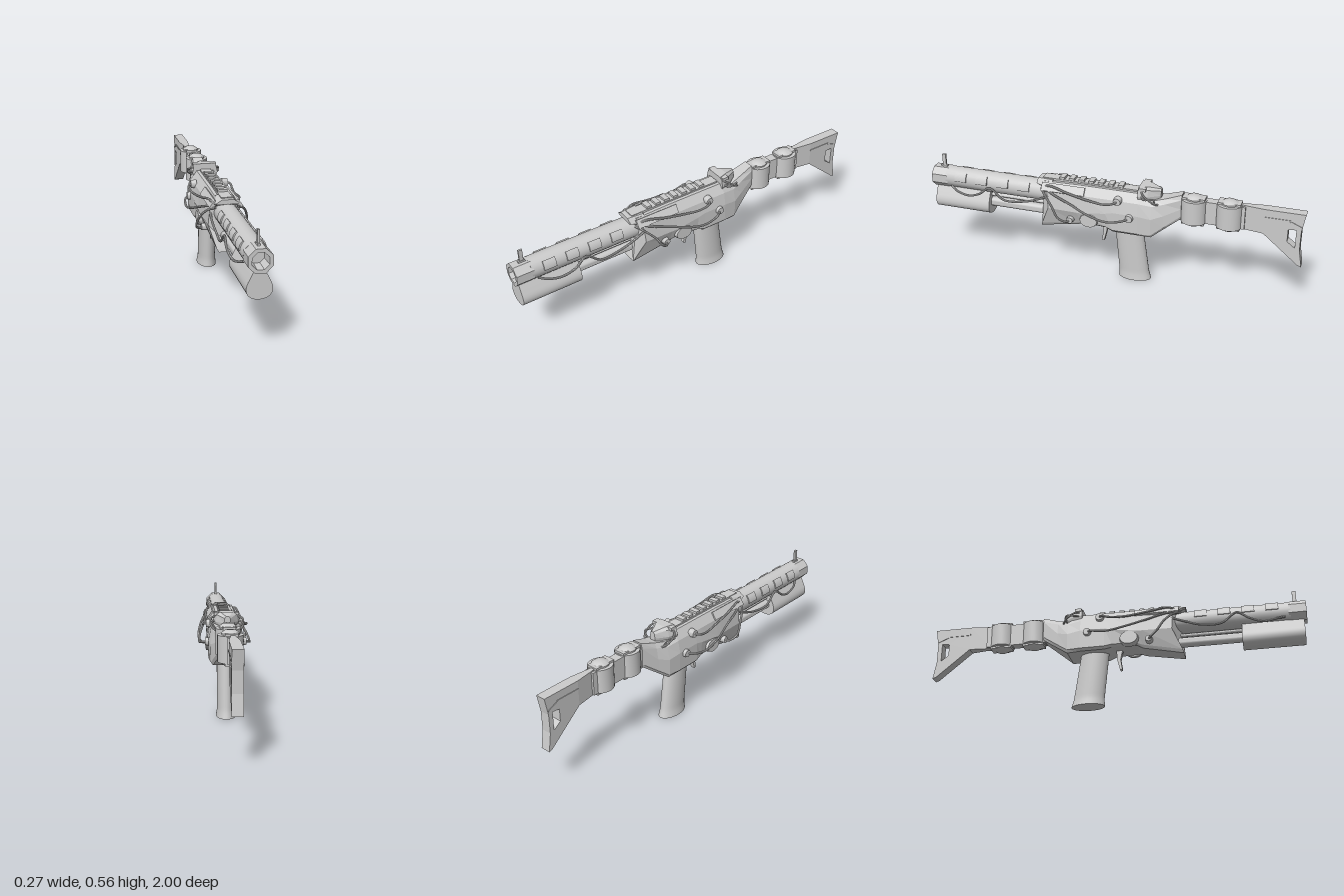
import * as THREE from 'three';
import { toCreasedNormals } from 'three/addons/utils/BufferGeometryUtils.js';

const smooth = new THREE.MeshStandardMaterial({ color: 0xcccccc, side: THREE.DoubleSide });
const flat = new THREE.MeshStandardMaterial({ color: 0xcccccc, flatShading: true, side: THREE.DoubleSide });

export function createModel() {
  const root = new THREE.Group();

  function add(name, geo, x = 0, y = 0, z = 0, mat = flat) {
    const m = new THREE.Mesh(mat === smooth ? toCreasedNormals(geo, 0.7) : geo, mat);
    m.name = name;
    m.position.set(x, y, z);
    root.add(m);
    return m;
  }
  const box = (name, w, h, d, x, y, z) => add(name, new THREE.BoxGeometry(w, h, d), x, y, z);

  // Closed solid from mirrored half sections, front to back; points are [x, y, z], bottom to top
  function loft(sections) {
    const pos = [], idx = [], n = sections[0].length * 2;
    for (const s of sections) {
      for (const [x, y, z] of s) pos.push(x, y, z);
      for (const [x, y, z] of [...s].reverse()) pos.push(-x, y, z);
    }
    for (let i = 0; i < sections.length - 1; i++) {
      for (let j = 0; j < n; j++) {
        const a = i * n + j, b = i * n + (j + 1) % n;
        idx.push(a, a + n, b, b, a + n, b + n);
      }
    }
    const e = (sections.length - 1) * n;
    for (let k = 1; k < n - 1; k++) idx.push(0, k, k + 1, e, e + k + 1, e + k);
    const g = new THREE.BufferGeometry();
    g.setAttribute('position', new THREE.Float32BufferAttribute(pos, 3));
    g.setIndex(idx);
    const out = g.toNonIndexed();
    out.computeVertexNormals();
    return out;
  }
  const at = (z, pts) => pts.map(([x, y]) => [x, y, z]);

  // Side outline given as [z, y], extruded across x
  function sidePlate(points, width, hole) {
    const toV = ([z, y]) => new THREE.Vector2(-z, y);
    const s = new THREE.Shape(points.map(toV));
    if (hole) s.holes.push(new THREE.Path(hole.map(toV)));
    const g = new THREE.ExtrudeGeometry(s, { depth: width, bevelEnabled: false });
    return g.translate(0, 0, -width / 2).rotateY(Math.PI / 2);
  }
  const cable = (name, pts, r = 0.006) => add(name, new THREE.TubeGeometry(
    new THREE.CatmullRomCurve3(pts.map(p => new THREE.Vector3(...p))), 36, r, 8), 0, 0, 0, smooth);
  const rod = (name, r, z0, z1, x, y) => add(name,
    new THREE.CylinderGeometry(r, r, z0 - z1, 20).rotateX(Math.PI / 2), x, y, (z0 + z1) / 2, smooth);

  // Barrel with octagonal hollow muzzle
  rod('barrel', 0.057, 0.92, 0.3, 0, 0.434);
  const ring = [[0.06, 0], [0.06, 0.09], [0.041, 0.09], [0.036, 0.02], [0, 0.02]];
  add('muzzle', new THREE.LatheGeometry(ring.map(p => new THREE.Vector2(...p)), 8, Math.PI / 8)
    .rotateX(Math.PI / 2), 0, 0.433, 0.91);
  box('frontSight', 0.01, 0.075, 0.02, 0, 0.52, 0.945);
  box('frontSightFoot', 0.014, 0.015, 0.035, 0, 0.49, 0.945);

  // Curved plates down both sides of the barrel
  for (const s of [1, -1]) for (let i = 0; i < 4; i++) {
    const plate = new THREE.Shape();
    plate.absarc(0, 0, 0.063, 0, 0.8, false);
    plate.absarc(0, 0, 0.05, 0.8, 0, true);
    const g = new THREE.ExtrudeGeometry(plate, { depth: 0.065, bevelEnabled: false, curveSegments: 4 });
    if (s < 0) g.rotateZ(Math.PI - 0.8);
    add('barrelPlate', g, 0, 0.434, 0.43 + i * 0.122);
  }

  // Teardrop fore grip and the tubes behind it
  const fore = new THREE.Shape();
  fore.moveTo(0.025, 0.385);
  fore.lineTo(-0.025, 0.385);
  fore.lineTo(-0.05, 0.335);
  fore.bezierCurveTo(-0.075, 0.285, -0.045, 0.255, 0, 0.255);
  fore.bezierCurveTo(0.045, 0.255, 0.075, 0.285, 0.05, 0.335);
  add('foreGrip', new THREE.ExtrudeGeometry(fore, { depth: 0.315, bevelEnabled: false }), 0, 0, 0.67, smooth);
  rod('magazineTube', 0.026, 0.68, 0.28, 0, 0.32);
  rod('slideRod', 0.01, 0.68, 0.28, 0, 0.36);

  // Receiver: slanted front, wide middle, tapered rear
  const rear = [[0.075, 0.287], [0.087, 0.3], [0.089, 0.4], [0.076, 0.465], [0.045, 0.51]];
  add('receiver', loft([
    [[0.04, 0.243, 0.37], [0.05, 0.26, 0.365], [0.083, 0.37, 0.315], [0.075, 0.45, 0.32], [0.045, 0.505, 0.345]],
    at(0.16, [[0.05, 0.285], [0.06, 0.3], [0.087, 0.37], [0.076, 0.465], [0.045, 0.51]]),
    at(0.13, [[0.055, 0.3], [0.068, 0.31], [0.088, 0.37], [0.076, 0.465], [0.045, 0.51]]),
    at(0.0, [[0.065, 0.3], [0.08, 0.31], [0.089, 0.39], [0.076, 0.465], [0.045, 0.51]]),
    at(-0.04, rear), at(-0.17, rear),
    at(-0.24, [[0.07, 0.285], [0.08, 0.3], [0.082, 0.39], [0.065, 0.455], [0.045, 0.48]]),
    at(-0.3, [[0.05, 0.33], [0.06, 0.345], [0.06, 0.41], [0.05, 0.47], [0.035, 0.495]]),
    at(-0.385, [[0.028, 0.395], [0.034, 0.41], [0.034, 0.45], [0.034, 0.5], [0.026, 0.525]]),
  ]));
  add('frontHood', loft([
    at(0.385, [[0.05, 0.49], [0.058, 0.495], [0.03, 0.513]]),
    at(0.3, [[0.06, 0.455], [0.072, 0.47], [0.04, 0.515]]),
  ]));

  // Toothed top rail
  box('railBase', 0.056, 0.02, 0.52, 0, 0.508, 0.1);
  for (let i = 0; i < 7; i++) box('railTooth', 0.05, 0.014, 0.028, 0, 0.523, 0.255 - i * 0.053);

  // Rear cover with a notch holding looped wires
  add('rearCover', loft([
    at(-0.165, [[0.058, 0.47], [0.068, 0.5], [0.06, 0.535], [0.045, 0.547]]),
    at(-0.215, [[0.045, 0.47], [0.055, 0.5], [0.048, 0.535], [0.03, 0.547]]),
    at(-0.275, [[0.012, 0.47], [0.016, 0.5], [0.014, 0.525], [0.006, 0.535]]),
  ]));
  box('coverBrow', 0.125, 0.016, 0.035, 0, 0.538, -0.188);

  for (const s of [1, -1]) {
    // Shoulder slabs, knobs and side boss
    box('shoulderSlab', 0.022, 0.045, 0.235, s * 0.062, 0.48, 0.235).rotation.z = s * 0.6;
    const knob = (name, r, len, x, y, z) =>
      add(name, new THREE.CylinderGeometry(r * 0.85, r, len, 16).rotateZ(-s * Math.PI / 2), s * x, y, z, smooth);
    knob('upperKnob', 0.023, 0.03, 0.083, 0.468, -0.065);
    knob('lowerKnob', 0.022, 0.025, 0.093, 0.385, -0.13);
    knob('frontKnob', 0.02, 0.03, 0.078, 0.32, 0.195);
    knob('sideBoss', 0.042, 0.03, 0.078, 0.335, 0.09).scale.z = 1.3;

    // Cables
    cable('upperCable', [[s * 0.07, 0.468, -0.065], [s * 0.108, 0.465, -0.055], [s * 0.11, 0.452, 0],
      [s * 0.1, 0.455, 0.08], [s * 0.09, 0.475, 0.2], [s * 0.075, 0.495, 0.3], [s * 0.055, 0.48, 0.35]]);
    cable('middleCable', [[s * 0.085, 0.385, -0.13], [s * 0.115, 0.38, -0.11], [s * 0.13, 0.365, -0.02],
      [s * 0.125, 0.385, 0.08], [s * 0.105, 0.42, 0.18], [s * 0.088, 0.455, 0.28], [s * 0.06, 0.475, 0.345]]);
    cable('lowerCable', [[s * 0.07, 0.32, 0.195], [s * 0.105, 0.318, 0.205], [s * 0.127, 0.345, 0.245],
      [s * 0.118, 0.4, 0.28], [s * 0.09, 0.45, 0.33], [s * 0.055, 0.47, 0.36]]);
    cable('barrelCable', [[s * 0.045, 0.395, 0.89], [s * 0.063, 0.38, 0.85], [s * 0.072, 0.367, 0.78],
      [s * 0.08, 0.39, 0.71], [s * 0.076, 0.43, 0.65], [s * 0.078, 0.375, 0.57], [s * 0.074, 0.38, 0.46],
      [s * 0.076, 0.41, 0.37], [s * 0.07, 0.44, 0.3]]);
    for (let i = 0; i < 2; i++) cable('coverWire', [[s * 0.05, 0.525 - i * 0.02, -0.18],
      [s * 0.078, 0.515 - i * 0.02, -0.2], [s * 0.076, 0.48 + i * 0.02, -0.25],
      [s * 0.05, 0.465, -0.268 + i * 0.02], [s * 0.02, 0.475, -0.255]], 0.005);
  }

  // Pistol grip: leaning oval column flared at the foot
  const grip = new THREE.CylinderGeometry(1, 1, 1, 24, 20);
  const p = grip.attributes.position;
  for (let i = 0; i < p.count; i++) {
    const t = p.getY(i) + 0.5, flare = 0.006 * Math.max(0, 1 - t * 8);
    p.setXYZ(i, p.getX(i) * (0.045 + flare), t * 0.3,
      p.getZ(i) * (0.082 - 0.007 * t + flare) - 0.14 + 0.036 * t);
  }
  grip.computeVertexNormals();
  add('grip', grip, 0, 0, 0, smooth);
  add('trigger', sidePlate([[0.045, 0.31], [0.01, 0.31], [0.015, 0.25], [0.03, 0.19], [0.042, 0.195], [0.033, 0.25]], 0.024));

  // Stock bar with two canister pods
  box('stockBar', 0.05, 0.12, 0.33, 0, 0.445, -0.54);
  for (const z of [-0.445, -0.625]) {
    const pod = [[0, 0.362], [0.03, 0.365], [0.046, 0.376], [0.046, 0.384], [0.065, 0.384], [0.065, 0.508],
      [0.046, 0.508], [0.046, 0.515], [0.03, 0.527], [0, 0.531]];
    add('canister', new THREE.LatheGeometry(pod.map(q => new THREE.Vector2(...q)), 28), 0.008, 0, z, smooth).scale.x = 0.92;
    for (const y of [0.38, 0.512]) box('canisterClamp', 0.06, 0.014, 0.115, 0.005, y, z);
  }

  // Butt stock: thin tapering neck and pierced plate
  add('stockNeck', loft([
    at(-0.67, [[0.009, 0.382], [0.009, 0.512]]),
    at(-0.8, [[0.026, 0.38], [0.026, 0.512]]),
  ]));
  add('butt', sidePlate([[-0.8, 0.512], [-1, 0.512], [-0.984, 0.42], [-0.984, 0.32], [-1, 0.225], [-0.98, 0.232], [-0.8, 0.38]],
    0.052, [[-0.92, 0.42], [-0.96, 0.425], [-0.96, 0.325], [-0.92, 0.355]]));
  for (const s of [1, -1]) {
    box('stockRib', 0.006, 0.008, 0.13, s * 0.026, 0.468, -0.865);
    box('stockRib', 0.006, 0.008, 0.06, s * 0.026, 0.452, -0.955).rotation.x = -0.4;
  }
  return root;
}
